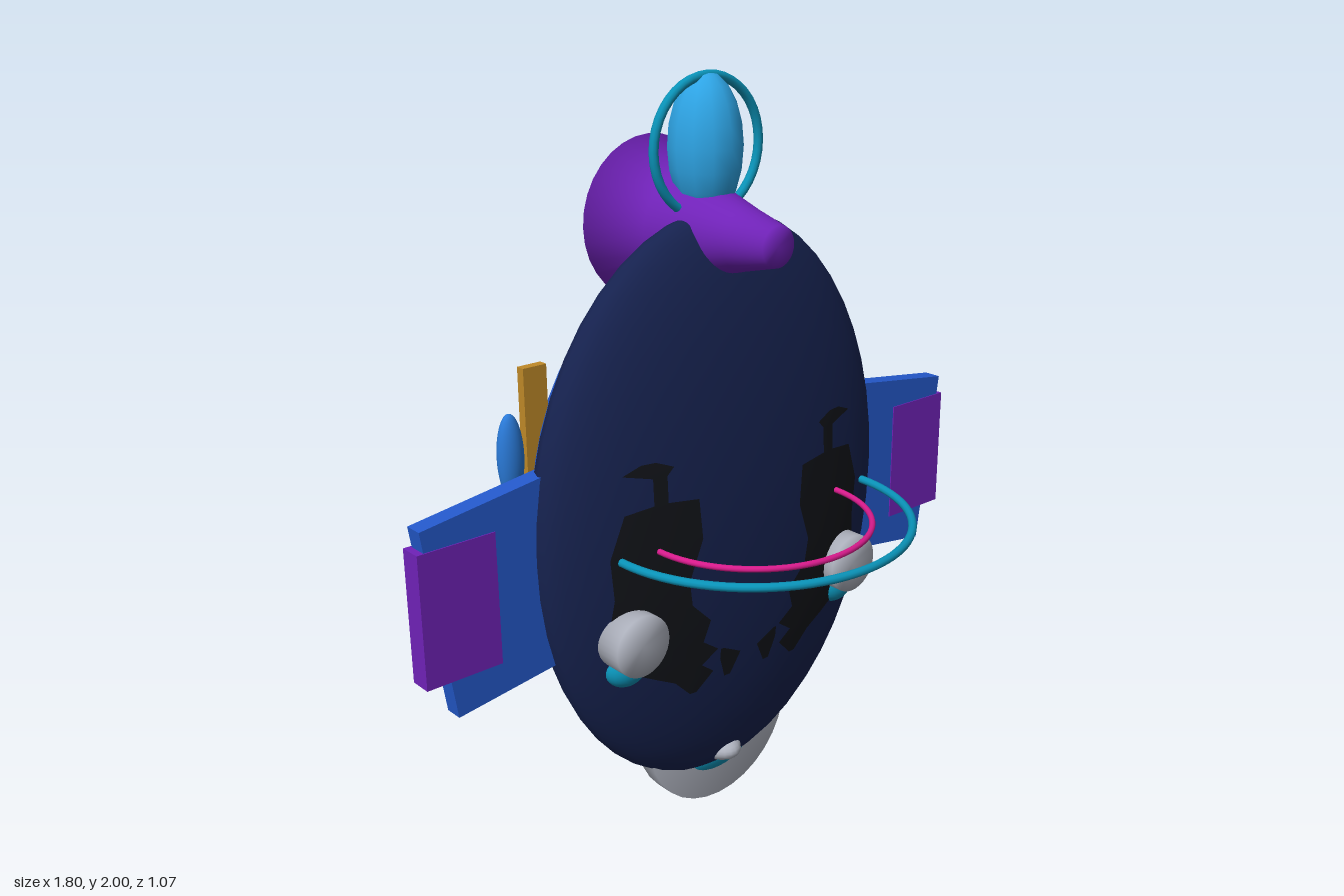
import * as THREE from 'three';

const C = {
  navy: 0x16224f, blue: 0x2459cc, azure: 0x2a7ad8, sky: 0x2ea5e6, purple: 0x7022b8,
  gold: 0xc08a28, magenta: 0xd81b8c, teal: 0x0a93b8, grey: 0xb2b6c2, black: 0x121419,
};
const mats = {};
for (const k in C) mats[k] = new THREE.MeshStandardMaterial({ color: C[k] });
mats.black.side = THREE.DoubleSide;

// Body ellipsoid, shared with the face markings
const BODY = { y: 0.885, z: -0.04, rx: 0.58, ry: 0.785, rz: 0.158 };

export function createModel() {
  const root = new THREE.Group();

  const add = (name, geo, mat, [x, y, z], parent = root) => {
    const m = new THREE.Mesh(geo, mats[mat]);
    m.name = name;
    m.position.set(x, y, z);
    parent.add(m);
    return m;
  };
  const egg = (name, mat, r, pos, w = 24, h = 16) =>
    add(name, new THREE.SphereGeometry(1, w, h).scale(...r), mat, pos);
  const box = (name, mat, size, pos) => add(name, new THREE.BoxGeometry(...size), mat, pos);
  // Solid turned about z with softened edges; profile is [radius, z] from back to front
  const turned = (name, mat, profile, pos) => add(name,
    new THREE.LatheGeometry(profile.map(([r, z]) => new THREE.Vector2(r, z)), 32).rotateX(Math.PI / 2), mat, pos);
  const disc = (name, mat, r, d, pos) =>
    turned(name, mat, [[0, -d / 2], [r, -d / 2], [r, d / 2], [0, d / 2]], pos);
  // Half ring lying flat, bulging to the front (+1) or the back (-1)
  const halfRing = (name, mat, R, t, dir, pos) => add(name,
    new THREE.TorusGeometry(R, t, 10, 40, Math.PI).rotateX(dir * Math.PI / 2), mat, pos);

  // Hull and back shell
  egg('body', 'navy', [BODY.rx, BODY.ry, BODY.rz], [0, BODY.y, BODY.z], 32, 24);
  egg('backShell', 'blue', [0.5, 0.61, 0.14], [0, 0.93, -0.15], 32, 24);

  // Horn through the top of the body
  turned('horn', 'purple',
    [[0, -0.29], [0.215, -0.29], [0.15, -0.13], [0.108, -0.02], [0.08, 0.08], [0.052, 0.195], [0, 0.195]],
    [0, 1.612, 0]);

  // Crest and its ring
  egg('crest', 'sky', [0.095, 0.18, 0.098], [0, 1.82, -0.067], 12, 10);
  add('crestRing', new THREE.TorusGeometry(0.17, 0.012, 10, 40), 'teal', [0, 1.82, -0.06]);

  // Mirrored side parts
  for (const s of [1, -1]) {
    const wing = box('wing', 'blue', [0.5, 0.505, 0.05], [s * 0.606, 0.84, -0.056]);
    wing.rotation.z = -s * 0.139;
    box('wingTip', 'purple', [0.21, 0.345, 0.06], [s * 0.795, 0.83, -0.058]);
    box('pylon', 'teal', [0.32, 0.08, 0.028], [s * 0.56, 0.905, -0.098]);
    egg('wingPod', 'magenta', [0.052, 0.145, 0.052], [s * 0.735, 0.905, -0.085]);
    egg('shoulderPod', 'azure', [0.036, 0.11, 0.027], [s * 0.553, 1.12, -0.157]);
    box('sideBar', 'gold', [0.068, 0.5, 0.025], [s * 0.467, 1.08, -0.175]);
    disc('eye', 'grey', 0.083, 0.1, [s * 0.375, 0.65, 0.072]);
    egg('eyePad', 'teal', [0.06, 0.05, 0.045], [s * 0.375, 0.562, 0.045]);

    // Face markings laid just over the body; rows are [y, inner x, outer x]
    marking('faceMarking', s, [
      [1.11, 0.3, 0.34], [1.09, 0.25, 0.39], [1.07, 0.27, 0.31], [1.0, 0.27, 0.31], [0.99, 0.18, 0.39],
      [0.88, 0.17, 0.43], [0.77, 0.21, 0.42], [0.7, 0.2, 0.43], [0.64, 0.14, 0.42], [0.58, 0.16, 0.41],
      [0.545, 0.11, 0.37], [0.51, 0.16, 0.3], [0.48, 0.12, 0.24], [0.43, 0.17, 0.19]]);
    marking('mouthFleck', s, [[0.54, 0.09, 0.1], [0.51, 0.03, 0.1], [0.45, 0.06, 0.08]]);
  }

  function marking(name, s, rows) {
    const n = 10, pos = [], idx = [];
    rows.forEach(([y, a, b], i) => {
      for (let j = 0; j <= n; j++) {
        const x = a + (b - a) * j / n;
        const k = 1 - (x / BODY.rx) ** 2 - ((y - BODY.y) / BODY.ry) ** 2;
        pos.push(s * x, y, BODY.z + BODY.rz * Math.sqrt(k) + 0.002);
        if (i && j) {
          const q = i * (n + 1) + j, p = q - n - 1;
          if (s > 0) idx.push(p - 1, q - 1, p, p, q - 1, q);
          else idx.push(p - 1, p, q - 1, p, q, q - 1);
        }
      }
    });
    const g = new THREE.BufferGeometry();
    g.setAttribute('position', new THREE.Float32BufferAttribute(pos, 3));
    g.setIndex(idx);
    g.computeVertexNormals();
    add(name, g, 'black', [0, 0, 0]);
  }

  // Front hoops
  halfRing('outerHoop', 'teal', 0.42, 0.011, 1, [0, 0.885, 0.1]);
  halfRing('innerHoop', 'magenta', 0.31, 0.008, 1, [0, 0.885, 0.11]);

  // Rear cluster: dome, tray, block, pod and hoops
  egg('rearDome', 'teal', [0.1, 0.11, 0.07], [0, 0.96, -0.26]);
  egg('rearTray', 'teal', [0.17, 0.012, 0.085], [0, 0.89, -0.25]);
  box('rearBlock', 'gold', [0.17, 0.06, 0.09], [0, 0.832, -0.305]);
  egg('rearPod', 'sky', [0.07, 0.075, 0.125], [0, 0.833, -0.41], 12, 10);
  halfRing('rearHoop', 'magenta', 0.193, 0.008, -1, [0, 0.94, -0.23]);
  const loop = new THREE.CatmullRomCurve3([
    [0.2, 0.88, -0.27], [0.165, 0.94, -0.34], [0.08, 1.03, -0.37],
    [-0.05, 1.105, -0.36], [-0.13, 1.11, -0.325], [-0.19, 1.06, -0.26],
  ].map((p) => new THREE.Vector3(...p)));
  add('tiltedHoop', new THREE.TubeGeometry(loop, 40, 0.007, 8), 'purple', [0, 0, 0]);

  // Tail block, tipped downward
  box('tailBlock', 'purple', [0.14, 0.355, 0.26], [0, 0.5, -0.306]).rotation.x = -0.13;

  // Base
  disc('base', 'grey', 0.25, 0.055, [0, 0.25, -0.047]);
  egg('basePad', 'teal', [0.13, 0.06, 0.045], [0, 0.13, -0.05]);
  egg('baseLamp', 'grey', [0.06, 0.043, 0.097], [0, 0.16, -0.045]);

  return root;
}
